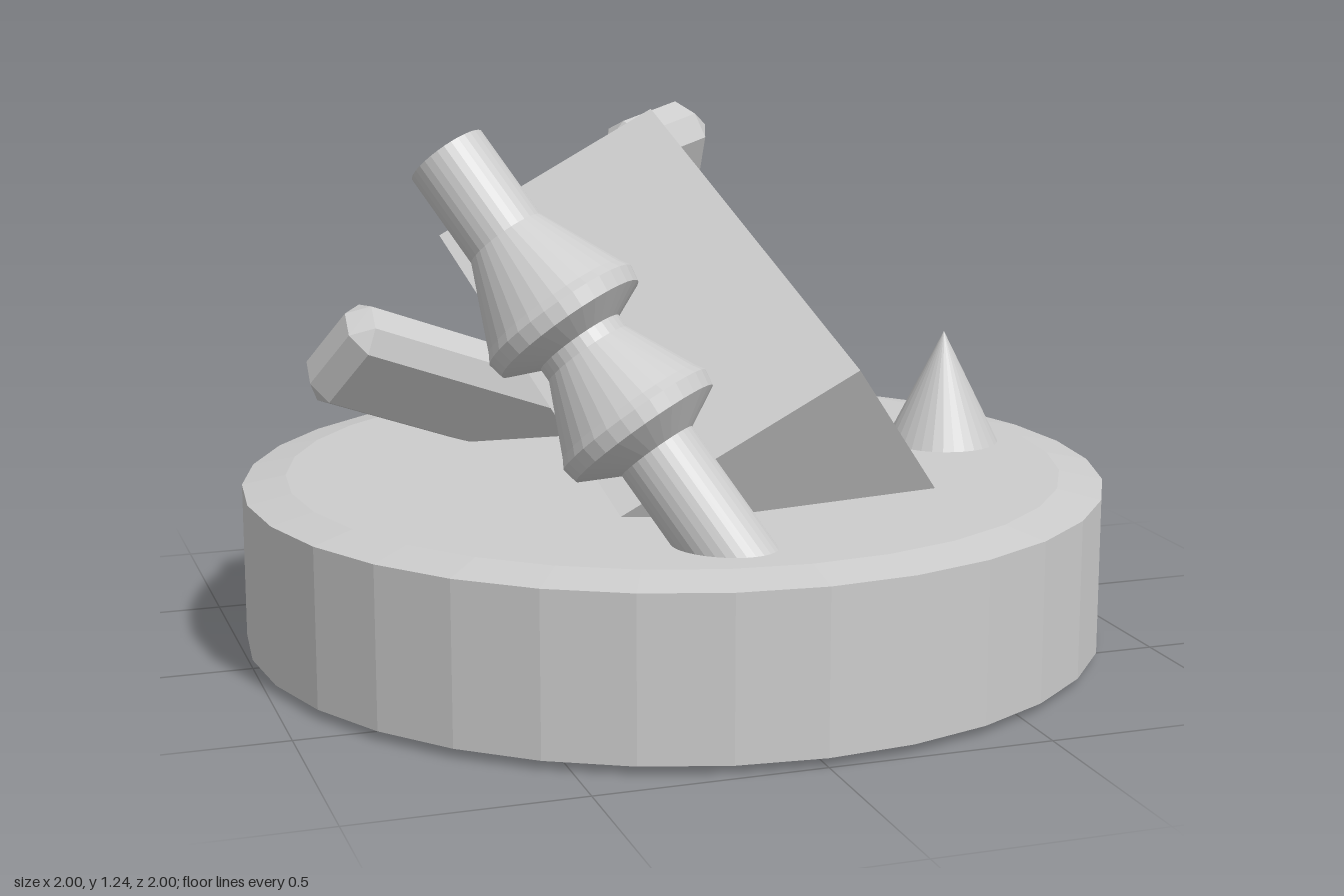
import * as THREE from 'three';
import { ConvexGeometry } from 'three/addons/geometries/ConvexGeometry.js';

const material = new THREE.MeshStandardMaterial({ color: 0xcccccc, flatShading: true });
const vec = (x, y, z) => new THREE.Vector3(x, y, z);

// Solid of revolution from [radius, height] pairs, listed bottom to top
const lathe = (profile) =>
  new THREE.LatheGeometry(profile.map(([r, y]) => new THREE.Vector2(r, y)), 32);

// Box with every edge and corner cut off by the bevel b
function chamferedBox(w, h, d, b) {
  const points = [];
  for (const sx of [-0.5, 0.5]) for (const sy of [-0.5, 0.5]) for (const sz of [-0.5, 0.5]) {
    const x = sx * w, y = sy * h, z = sz * d;
    const cx = x - 2 * sx * b, cy = y - 2 * sy * b, cz = z - 2 * sz * b;
    points.push(vec(x, cy, cz), vec(cx, y, cz), vec(cx, cy, z));
  }
  return new ConvexGeometry(points);
}

export function createModel() {
  const model = new THREE.Group();
  const add = (name, geometry) => {
    const mesh = new THREE.Mesh(geometry, material);
    mesh.name = name;
    model.add(mesh);
    return mesh;
  };

  // Round base with bevelled rims
  add('base', lathe([[0, 0], [0.9, 0], [1, 0.02], [1, 0.38], [0.9, 0.4], [0, 0.4]]));

  // Tilted triangular prism, sunk into the base at one corner
  const back = [vec(0.065, 1.195, -0.365), vec(0.41, 0.775, -0.62), vec(-0.45, 0.9, -0.43)];
  const along = vec(0.153, -0.467, 0.975);
  add('prism', new ConvexGeometry([...back, ...back.map((p) => p.clone().add(along))]));

  // Leaning spindle with two flared collars
  const spindle = add('spindle', lathe([
    [0, -1.12], [0.09, -1.12], [0.09, -0.77], [0.175, -0.725], [0.182, -0.69], [0.17, -0.67],
    [0.1, -0.52], [0.1, -0.49], [0.175, -0.455], [0.182, -0.42], [0.17, -0.4],
    [0.09, -0.22], [0.09, 0], [0, 0],
  ]));
  spindle.position.set(-0.595, 1.18, 0.275);
  spindle.quaternion.setFromUnitVectors(vec(0, 1, 0), vec(-0.465, 0.772, -0.435).normalize());

  // Small upright cone
  const cone = add('cone', new THREE.ConeGeometry(0.135, 0.27, 32));
  cone.position.set(0.7, 0.535, -0.025);

  // Chamfered bars: centre, long axis, and normal of the broad face
  const bars = [
    ['standingBar', vec(0.105, 0.8, -0.59), vec(0, 0.908, 0.42), vec(-0.47, 0.37, -0.8)],
    ['lowBar', vec(-0.39, 0.525, -0.37), vec(-0.908, 0.355, 0.223), vec(0.039, 0.601, -0.798)],
  ];
  for (const [name, center, axis, normal] of bars) {
    const bar = add(name, chamferedBox(0.27, 0.81, 0.16, 0.045));
    const y = axis.normalize();
    const x = y.clone().cross(normal).normalize();
    const z = x.clone().cross(y);
    bar.quaternion.setFromRotationMatrix(new THREE.Matrix4().makeBasis(x, y, z));
    bar.position.copy(center);
  }

  return model;
}
